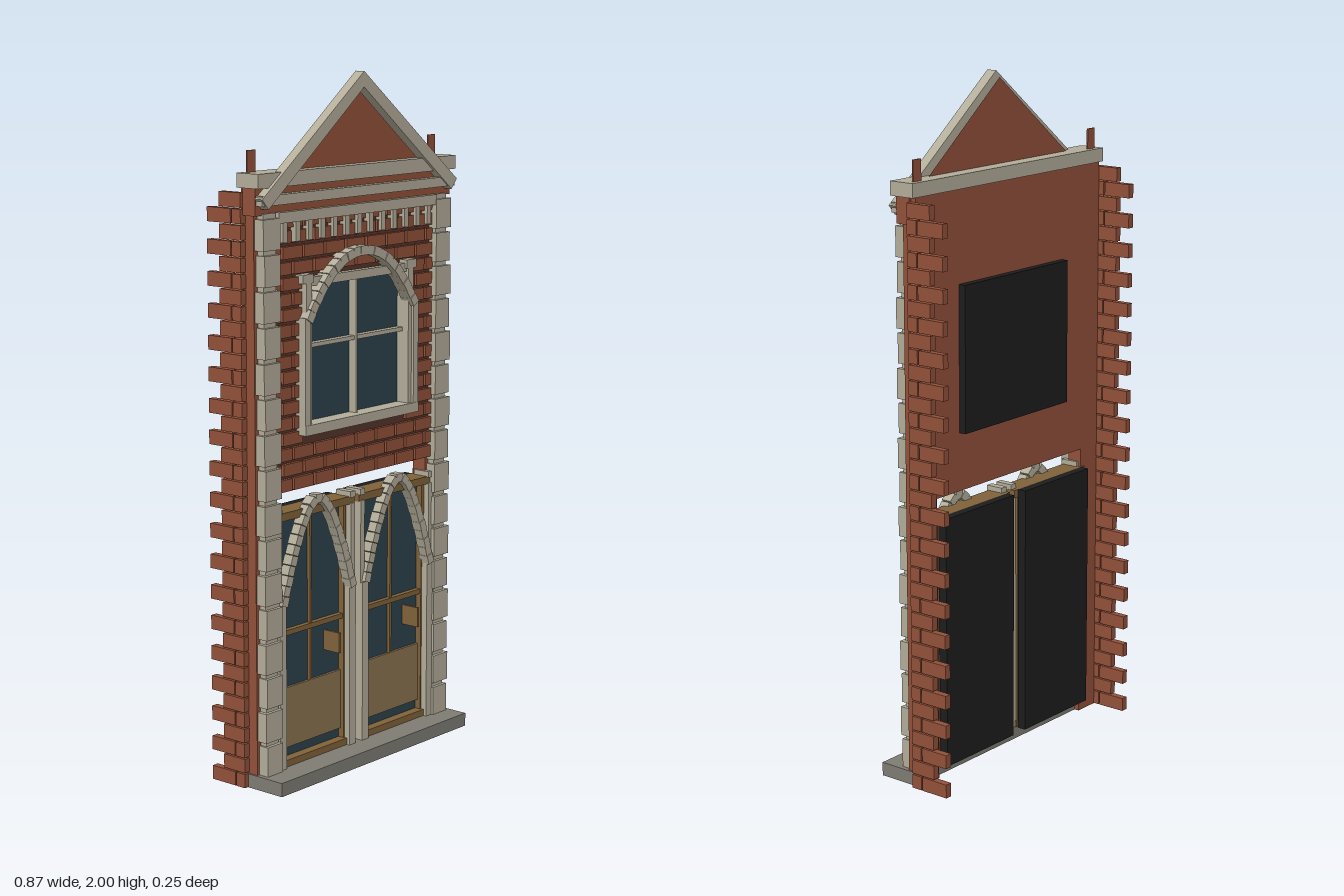
import * as THREE from 'three';

export function createModel() {
  const root = new THREE.Group();
  root.name = 'facade';
  const mat = (name, color) => {
    const m = new THREE.MeshStandardMaterial({ color });
    m.name = name;
    return m;
  };
  const stone = mat('stone', 0xb3ad9a);
  const brick = mat('brick', 0x92513a);
  const mortar = mat('mortar', 0x53342a);
  const slab = mat('slab grey', 0x7f7c73);
  const glass = mat('glass', 0x2d424b);
  const wood = mat('wood', 0x80623a);
  const panel = mat('panel wood', 0x8a7350);
  const black = mat('black backing', 0x1d1d1d);
  const gable = brick.clone();
  gable.name = 'gable brick';
  gable.side = THREE.DoubleSide;

  const group = (name, parent = root) => {
    const g = new THREE.Group();
    g.name = name;
    parent.add(g);
    return g;
  };
  const add = (parent, name, geo, m) => {
    const mesh = new THREE.Mesh(geo, m);
    mesh.name = name;
    parent.add(mesh);
    return mesh;
  };
  // Box given by its limits on each axis
  const box = (parent, name, m, x0, x1, y0, y1, z0, z1) => {
    const b = add(parent, name, new THREE.BoxGeometry(x1 - x0, y1 - y0, z1 - z0), m);
    b.position.set((x0 + x1) / 2, (y0 + y1) / 2, (z0 + z1) / 2);
    return b;
  };
  // Same box on both sides of x = 0
  const pair = (parent, name, m, x0, x1, ...rest) => {
    box(parent, name, m, x0, x1, ...rest);
    box(parent, name, m, -x1, -x0, ...rest);
  };
  // Row of arch stones along a curved outline
  const arch = (parent, cx, half, yBase, yTop, power, count, thick, z0, z1) => {
    const pts = [];
    for (let i = 0; i <= 24; i++) {
      const u = i / 12 - 1;
      pts.push(new THREE.Vector3(cx + u * half, yTop - (yTop - yBase) * Math.abs(u) ** power, 0));
    }
    const p = new THREE.CatmullRomCurve3(pts).getSpacedPoints(count);
    for (let i = 0; i < count; i++) {
      const a = p[i], b = p[i + 1];
      const s = add(parent, 'archStone',
        new THREE.BoxGeometry(a.distanceTo(b) * 0.96, thick, z1 - z0 - (i % 2) * 0.003), stone);
      s.position.set((a.x + b.x) / 2, (a.y + b.y) / 2, (z0 + z1) / 2);
      s.rotation.z = Math.atan2(b.y - a.y, b.x - a.x);
    }
  };

  // Base slab
  box(root, 'baseSlab', slab, -0.42, 0.42, 0, 0.04, 0, 0.127);

  // Wall with a window opening, and the legs beside the doors
  const wall = group('wall');
  const outline = (w, y0, y1) => {
    const s = new THREE.Shape([[-w, y0], [w, y0], [w, y1], [-w, y1]].map(p => new THREE.Vector2(...p)));
    s.holes.push(new THREE.Path([[-0.215, 1.02], [-0.215, 1.43], [0.215, 1.43], [0.215, 1.02]]
      .map(p => new THREE.Vector2(...p))));
    return s;
  };
  add(wall, 'upperWall', new THREE.ExtrudeGeometry(outline(0.415, 0.84, 1.7),
    { depth: 0.045, bevelEnabled: false }), brick).position.z = -0.015;
  add(wall, 'mortarFace', new THREE.ExtrudeGeometry(outline(0.345, 0.842, 1.62),
    { depth: 0.005, bevelEnabled: false }), mortar).position.z = 0.03;
  pair(wall, 'wallLeg', brick, 0.335, 0.415, 0, 0.84, -0.015, 0.03);

  // Front bricks in running bond, cut around the window
  const bricks = group('frontBricks');
  const pitch = 0.0435, length = 0.09;
  for (let r = 0; r < 18; r++) {
    const y0 = 0.845 + r * pitch, y1 = y0 + pitch - 0.009;
    const cut = y1 > 1.01 && y0 < 1.44;
    for (let i = -5; i < 5; i++) {
      const start = i * length + (r % 2) * length / 2;
      const a = Math.max(start, -0.345), b = Math.min(start + length - 0.009, 0.345);
      const spans = cut ? [[a, Math.min(b, -0.22)], [Math.max(a, 0.22), b]] : [[a, b]];
      for (const [s, e] of spans)
        if (e - s > 0.008) box(bricks, 'brick', brick, s, e, y0, y1, 0.034, 0.046);
    }
  }

  // Toothed brick returns at both sides
  const returns = group('sideBricks');
  const rows = 38, step = 1.69 / rows;
  for (let r = 0; r < rows; r++) {
    const y0 = r * step + 0.001, y1 = y0 + step - 0.004;
    const spans = r % 2 ? [[-0.08, 0]] : [[-0.125, -0.037], [-0.033, 0]];
    for (const [z0, z1] of spans) pair(returns, 'sideBrick', brick, 0.414, 0.435, y0, y1, z0, z1);
  }

  // Corner stones with recessed joints
  const quoins = group('cornerStones');
  pair(quoins, 'cornerCore', stone, 0.35, 0.4, 0.04, 1.63, 0, 0.052);
  for (let i = 0; i < 16; i++) {
    const y0 = 0.04 + i * 0.0993;
    pair(quoins, 'cornerStone', stone, 0.342, i % 2 ? 0.411 : 0.406, y0, y0 + 0.086, 0, 0.062);
  }

  // Cornice, frieze and dentils
  const cornice = group('cornice');
  box(cornice, 'topMoulding', stone, -0.43, 0.43, 1.7, 1.74, -0.018, 0.062);
  box(cornice, 'brickBand', brick, -0.425, 0.425, 1.625, 1.7, 0, 0.045);
  box(cornice, 'lowerMoulding', stone, -0.42, 0.42, 1.652, 1.68, 0, 0.067);
  box(cornice, 'frieze', stone, -0.345, 0.345, 1.6, 1.63, 0.03, 0.06);
  for (let i = 0; i < 13; i++) {
    const x = (i - 6) * 0.0525;
    box(cornice, 'dentil', stone, x - 0.009, x + 0.009, 1.545, 1.602, 0.034, 0.056);
  }
  pair(cornice, 'brickUpstand', brick, 0.375, 0.408, 1.74, 1.8, -0.002, 0.002);

  // Gable with sloping stone rails
  const pediment = group('pediment');
  add(pediment, 'gablePanel', new THREE.ShapeGeometry(new THREE.Shape([
    new THREE.Vector2(-0.315, 1.735), new THREE.Vector2(0.315, 1.735), new THREE.Vector2(0, 1.982),
  ])), gable).position.z = 0.028;
  for (const s of [1, -1]) {
    const pts = [[0, 2], [0, 1.956], [s * 0.4, 1.643], [s * 0.425, 1.672]];
    const rail = new THREE.Shape(pts.map(p => new THREE.Vector2(...p)));
    add(pediment, 'gableRail', new THREE.ExtrudeGeometry(rail,
      { depth: 0.032, bevelEnabled: false }), stone).position.z = 0.04;
  }

  // Upper window
  const win = group('window');
  box(win, 'windowGlass', glass, -0.217, 0.217, 1.018, 1.432, 0.012, 0.02);
  box(win, 'windowBacking', black, -0.235, 0.235, 1.01, 1.435, -0.037, -0.014);
  pair(win, 'windowPost', stone, 0.213, 0.236, 1.0, 1.44, 0.02, 0.062);
  pair(win, 'windowPilaster', stone, 0.228, 0.25, 1.02, 1.33, 0.034, 0.07);
  pair(win, 'postCap', stone, 0.205, 0.25, 1.425, 1.45, 0.034, 0.062);
  box(win, 'windowHead', stone, -0.225, 0.225, 1.415, 1.44, 0.02, 0.055);
  box(win, 'windowSill', stone, -0.25, 0.25, 0.998, 1.027, 0.02, 0.072);
  box(win, 'crossBar', stone, -0.215, 0.215, 1.239, 1.251, 0.018, 0.04);
  box(win, 'uprightBar', stone, -0.004, 0.004, 1.027, 1.415, 0.018, 0.045);
  arch(win, 0, 0.235, 1.32, 1.498, 2.2, 21, 0.027, 0.035, 0.075);

  // Pair of identical arched doors
  for (const cx of [-0.18, 0.18]) {
    const door = group(cx < 0 ? 'rightDoor' : 'leftDoor');
    const part = (name, m, x0, x1, ...rest) => box(door, name, m, cx + x0, cx + x1, ...rest);
    part('doorGlass', glass, -0.15, 0.15, 0.045, 0.775, 0.008, 0.016);
    part('doorBacking', black, -0.153, 0.153, 0.042, 0.785, -0.045, -0.018);
    part('doorHeader', wood, -0.17, 0.17, 0.762, 0.785, -0.018, 0.045);
    part('doorThreshold', wood, -0.15, 0.15, 0.04, 0.06, -0.01, 0.045);
    part('kickPanel', panel, -0.137, 0.137, 0.088, 0.266, 0.014, 0.024);
    part('middleRail', wood, -0.137, 0.137, 0.423, 0.438, 0.014, 0.032);
    part('centreBar', wood, -0.004, 0.004, 0.266, 0.765, 0.014, 0.026);
    part('handle', wood, 0.066, 0.074, 0.34, 0.4, 0.014, 0.076);
    for (const s of [-1, 1]) {
      const stile = s * 0.139;
      part('stile', wood, stile - 0.006, stile + 0.006, 0.06, 0.765, -0.01, 0.035);
      // Stone jambs, wider below the spring of the arch
      const j = s * 0.151;
      part('jamb', stone, j - 0.014, j + 0.014, 0.04, 0.52, -0.005, 0.055);
      const t = s * 0.158;
      part('upperJamb', stone, t - 0.009, t + 0.009, 0.52, 0.765, -0.005, 0.05);
      part('jambCap', stone, t - 0.011, t + 0.011, 0.782, 0.8, -0.005, 0.05);
    }
    arch(door, cx, 0.15, 0.52, 0.812, 1.75, 23, 0.025, 0.03, 0.062);
  }
  return root;
}
